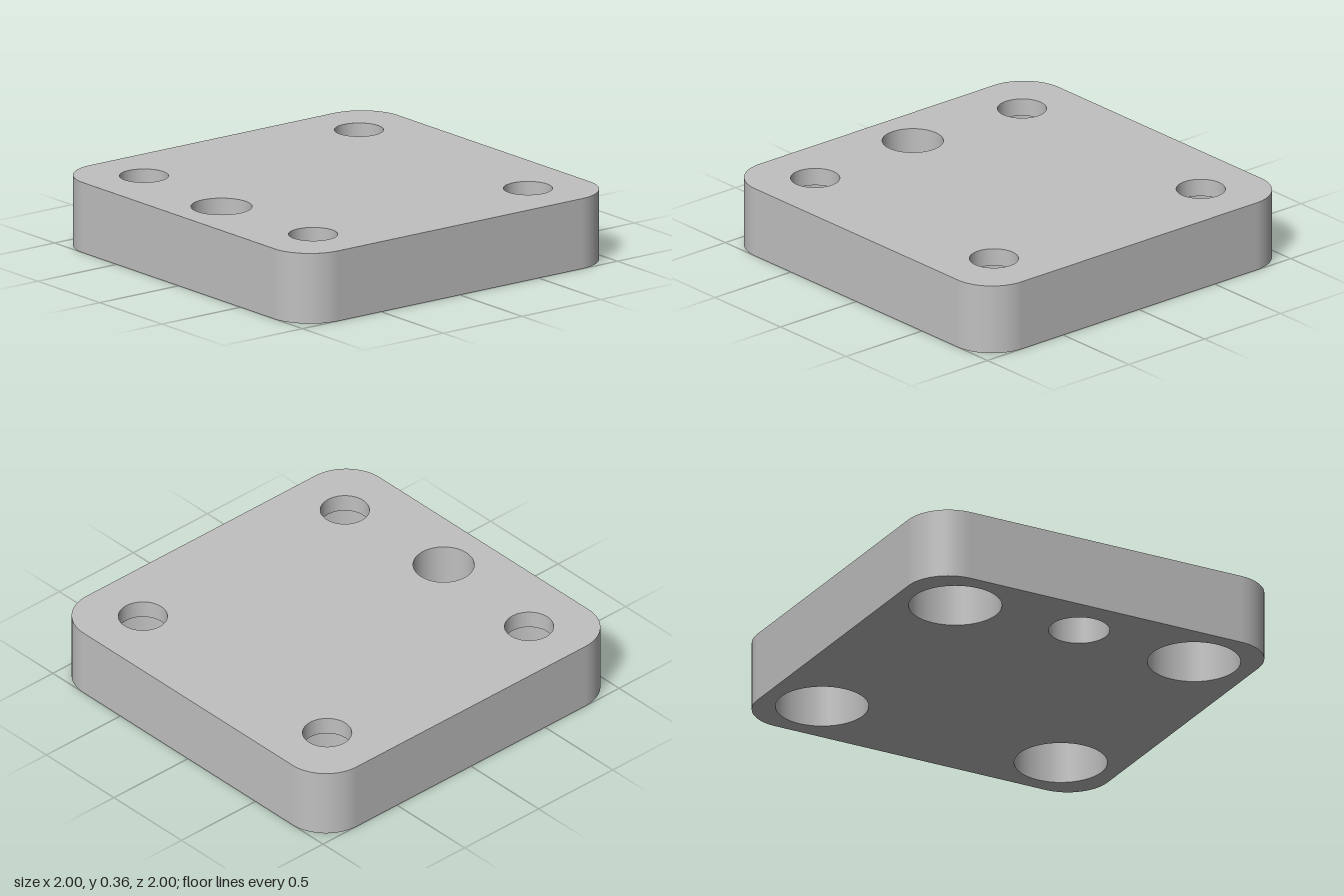
import * as THREE from 'three';
import { mergeGeometries } from 'three/addons/utils/BufferGeometryUtils.js';

const HEIGHT = 0.364, HALF = 1, CORNER = 0.227, LEDGE = 0.273; // ledge = top of the counterbores
const ARC = 24; // curve divisions; a full circle or a corner gets twice as many

// Holes: centre, radius at the top face and radius at the bottom face
const holes = [{ name: 'centreHole', x: 0, z: 0.727, top: 0.153, bottom: 0.153 }];
for (const x of [-0.682, 0.682])
  for (const z of [-0.682, 0.682])
    holes.push({ name: 'screwHole', x, z, top: 0.123, bottom: 0.233 });

// Horizontal face with rounded corners and round holes; up = 1 faces +y, -1 faces -y
function plateFace(key, up) {
  const c = HALF - CORNER, q = Math.PI / 2;
  const shape = new THREE.Shape();
  [[c, c], [-c, c], [-c, -c], [c, -c]].forEach(([x, y], i) =>
    shape.absarc(x, y, CORNER, i * q, (i + 1) * q));
  shape.closePath();
  for (const h of holes) {
    const hole = new THREE.Path();
    hole.absarc(h.x, -up * h.z, h[key], 0, Math.PI * 2, true);
    shape.holes.push(hole);
  }
  return new THREE.ShapeGeometry(shape, ARC).rotateX(-up * q);
}

// Vertical band round the rounded square, smooth at the corners
function sideWall() {
  const pos = [], nor = [], idx = [], n = ARC * 2, c = HALF - CORNER;
  [[1, 1], [-1, 1], [-1, -1], [1, -1]].forEach(([sx, sz], k) => {
    for (let i = 0; i <= n; i++) {
      const a = (k + i / n) * Math.PI / 2, nx = Math.cos(a), nz = Math.sin(a);
      for (const y of [0, HEIGHT]) {
        pos.push(sx * c + CORNER * nx, y, sz * c + CORNER * nz);
        nor.push(nx, 0, nz);
      }
    }
  });
  const count = pos.length / 3;
  for (let b = 0; b < count; b += 2) {
    const d = (b + 2) % count;
    idx.push(b, b + 1, d, b + 1, d + 1, d);
  }
  const g = new THREE.BufferGeometry();
  g.setAttribute('position', new THREE.Float32BufferAttribute(pos, 3));
  g.setAttribute('normal', new THREE.Float32BufferAttribute(nor, 3));
  g.setIndex(idx);
  return g;
}

// Inward-facing bore, turned one straight piece at a time to keep its edges sharp
function bore(h) {
  const profile = h.top === h.bottom
    ? [[h.top, HEIGHT], [h.top, 0]]
    : [[h.top, HEIGHT], [h.top, LEDGE], [h.bottom, LEDGE], [h.bottom, 0]];
  const pieces = profile.slice(1).map((p, i) => new THREE.LatheGeometry(
    [new THREE.Vector2(...profile[i]), new THREE.Vector2(...p)], ARC * 2));
  return mergeGeometries(pieces).translate(h.x, 0, h.z);
}

export function createModel() {
  const grey = new THREE.MeshStandardMaterial({ color: 0xc0c0c0 });
  grey.name = 'plainGrey';
  const group = new THREE.Group();
  group.name = 'mountingPlate';
  const add = (name, geometry) => {
    const mesh = new THREE.Mesh(geometry, grey);
    mesh.name = name;
    group.add(mesh);
  };

  add('topFace', plateFace('top', 1).translate(0, HEIGHT, 0));
  add('bottomFace', plateFace('bottom', -1));
  add('sideWall', sideWall());
  for (const h of holes) add(h.name, bore(h));
  return group;
}
